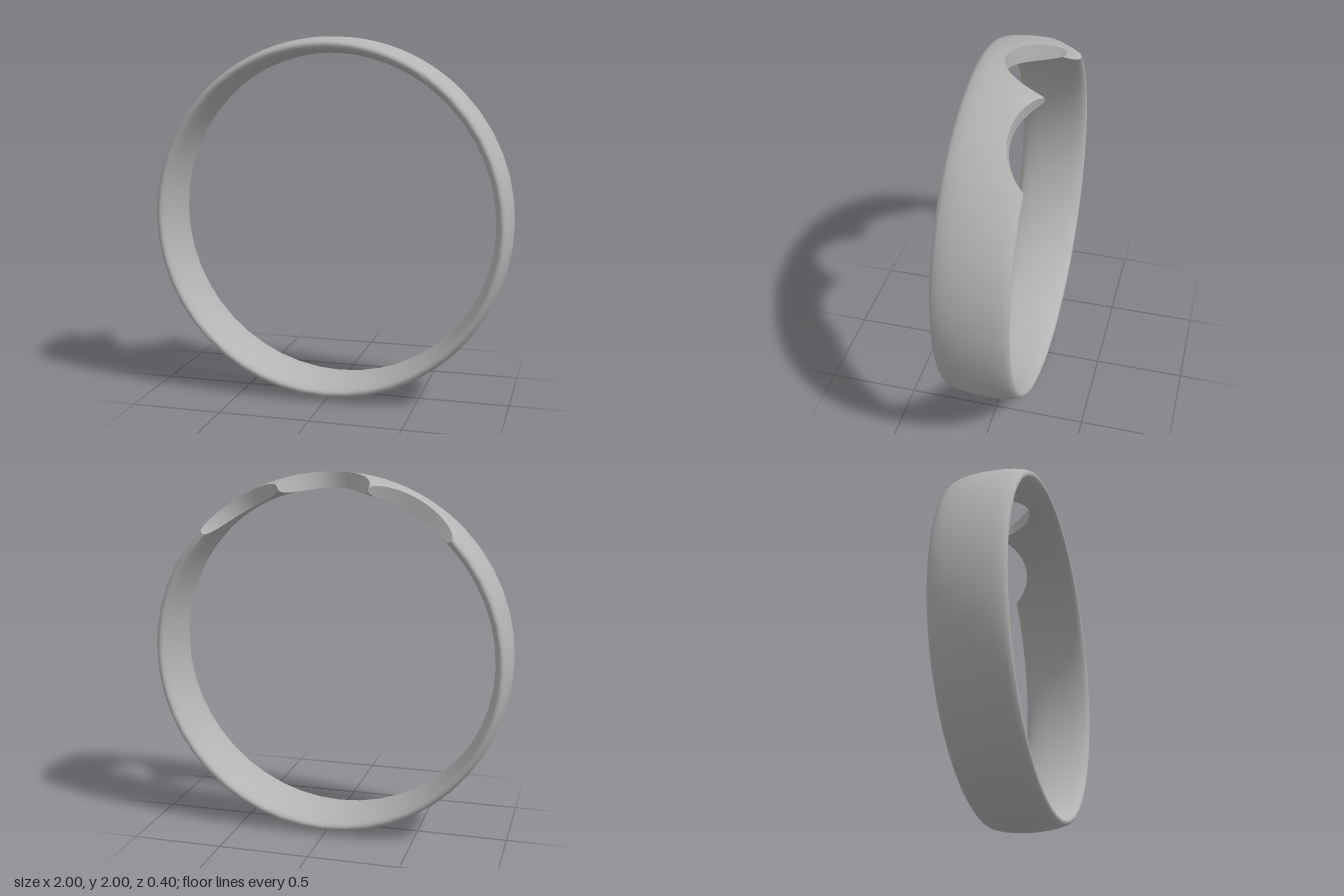
import * as THREE from 'three';
import { toCreasedNormals } from 'three/addons/utils/BufferGeometryUtils.js';

const HALF_WIDTH = 0.2;   // half of the band's width along z
const MID_RADIUS = 0.955; // radius of the two thin rims
const STEPS = 12;         // samples across the band

// Scallops in the back edge: centre and half-width in degrees from the top
const SCALLOPS = [
  { centre: -30, half: 15.2, depth: 0.12, power: 0.85 },
  { centre: 0, half: 14.8, depth: 0.26, power: 0.7 },
  { centre: 30, half: 15.2, depth: 0.12, power: 0.85 },
];

// Half thickness of the lens-shaped section
function halfThickness(z) {
  const t = Math.min(1, Math.abs(z) / HALF_WIDTH);
  return 0.005 + 0.04 * Math.sqrt(1 - t * t);
}

// Angles around the band, finer in the scallops, with the z of the back edge
function bandColumns() {
  const columns = [];
  const n = 20;
  for (const s of SCALLOPS) {
    for (let k = 0; k < n; k++) {
      const u = -Math.cos((Math.PI * k) / n);
      const cut = s.depth * Math.pow(Math.max(0, 1 - u * u), s.power);
      columns.push({ angle: s.centre + s.half * u, back: cut - HALF_WIDTH });
    }
  }
  const plain = 36;
  for (let k = 0; k < plain; k++) {
    columns.push({ angle: 45.2 + (269.6 * k) / plain, back: -HALF_WIDTH });
  }
  return columns;
}

// Closed section: outer face front to back, then inner face back to front
function section({ angle, back }) {
  const a = THREE.MathUtils.degToRad(angle);
  const outer = [], inner = [];
  for (let i = 0; i <= STEPS; i++) {
    const f = (1 - Math.cos((Math.PI * i) / STEPS)) / 2;
    const z = HALF_WIDTH + (back - HALF_WIDTH) * f;
    const h = halfThickness(z);
    const at = (r) => [r * Math.sin(a), 1 + r * Math.cos(a), z];
    outer.push(at(MID_RADIUS + h));
    inner.unshift(at(MID_RADIUS - h));
  }
  return [...outer, ...inner];
}

// Join the sections into one closed ring
function bandGeometry() {
  const sections = bandColumns().map(section);
  const count = sections.length;
  const m = sections[0].length;
  const index = [];
  for (let j = 0; j < count; j++) {
    const p = j * m, q = ((j + 1) % count) * m;
    for (let i = 0; i < m; i++) {
      const k = (i + 1) % m;
      index.push(p + i, q + i, p + k, q + i, q + k, p + k);
    }
  }
  const geometry = new THREE.BufferGeometry();
  geometry.setAttribute('position', new THREE.Float32BufferAttribute(sections.flat(2), 3));
  geometry.setIndex(index);
  return toCreasedNormals(geometry, THREE.MathUtils.degToRad(40));
}

export function createModel() {
  const grey = new THREE.MeshStandardMaterial({ color: 0xb4b4b4 });
  grey.name = 'grey metal';

  const band = new THREE.Mesh(bandGeometry(), grey);
  band.name = 'scallopedBand';

  const group = new THREE.Group();
  group.name = 'ring';
  group.add(band);
  return group;
}
